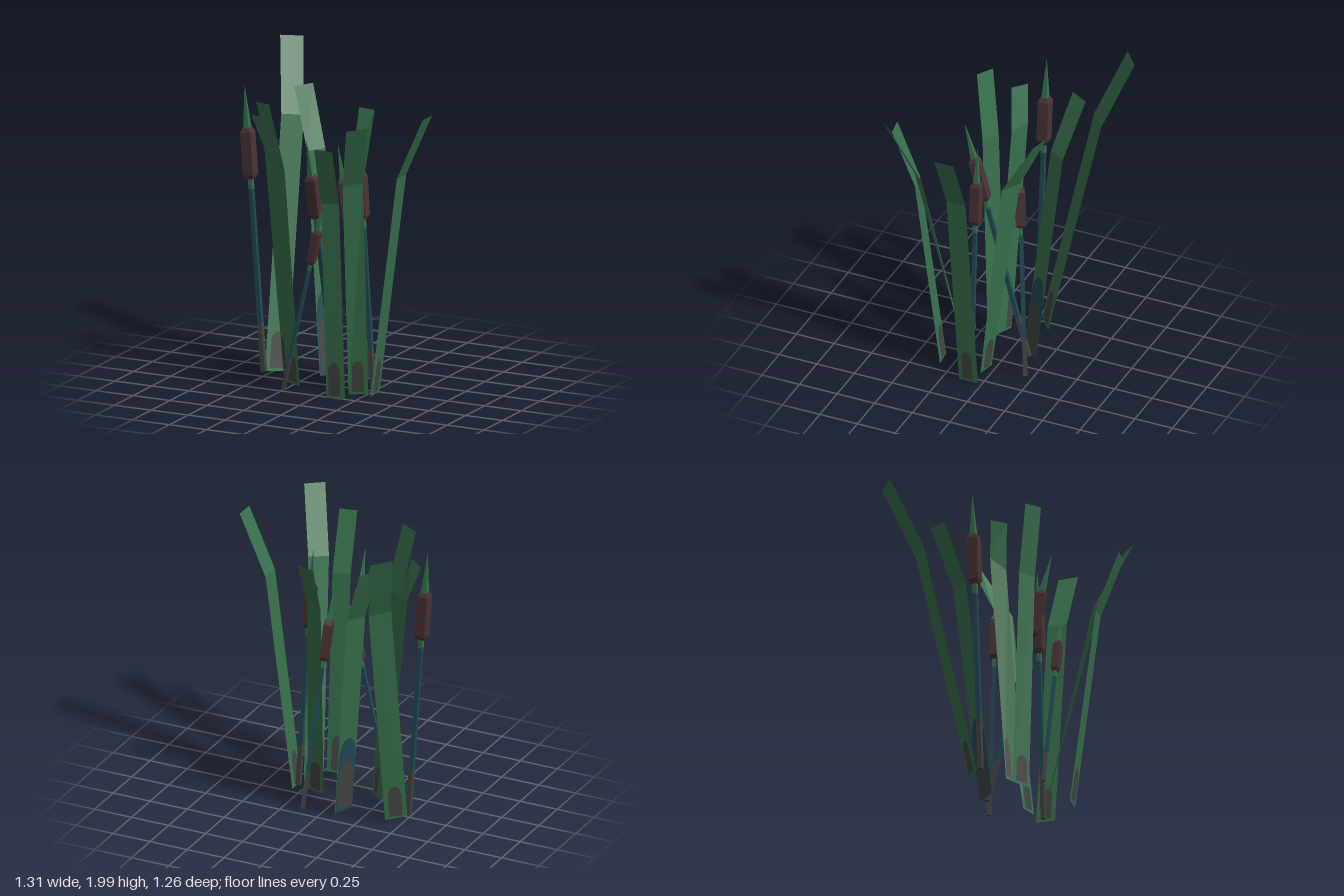
import * as THREE from 'three';

const mat = (name, color, flat = true) => {
  const m = new THREE.MeshStandardMaterial({ color, side: THREE.DoubleSide, flatShading: flat });
  m.name = name;
  return m;
};

export function createModel() {
  const leafGreen = mat('leaf green', 0x37704c);
  const stemTeal = mat('stem teal', 0x214a54);
  const mudGrey = mat('mud grey', 0x424643);
  const headBrown = mat('seed head brown', 0x4a3234);

  const root = new THREE.Group();
  root.name = 'reedClump';
  const add = (parent, name, geo, material) => {
    const m = new THREE.Mesh(geo, material);
    m.name = name;
    parent.add(m);
    return m;
  };
  const V = (a) => new THREE.Vector3(...a);

  // flat ribbon leaf: rows of [left, right] corners from base to tip
  function blade(name, rows, stain = [0.5, 0.3, 0.14], bigStain = false) {
    const g = new THREE.Group();
    g.name = name;
    root.add(g);
    const geo = new THREE.BufferGeometry();
    const pos = [], idx = [];
    rows.forEach(([l, r], i) => {
      pos.push(...l, ...r);
      if (i) {
        const a = 2 * (i - 1);
        idx.push(a, a + 1, a + 3, a, a + 3, a + 2);
      }
    });
    geo.setAttribute('position', new THREE.Float32BufferAttribute(pos, 3));
    geo.setIndex(idx);
    geo.computeVertexNormals();
    add(g, 'leaf', geo, leafGreen);

    // arched stain at the foot, repeated on both faces
    const [bl, br] = rows[0].map(V), [ml, mr] = rows[1].map(V);
    const n = br.clone().sub(bl).cross(ml.clone().sub(bl)).normalize();
    const patch = (label, u0, half, t0, t1, offset, material) => {
      const s = new THREE.Shape();
      const shoulder = t1 - (t1 - t0) * 0.3;
      s.moveTo(u0 - half, t0);
      s.lineTo(u0 + half, t0);
      s.lineTo(u0 + half, shoulder);
      for (let k = 1; k <= 8; k++) {
        const a = (k / 8) * Math.PI;
        s.lineTo(u0 + half * Math.cos(a), shoulder + (t1 - shoulder) * Math.sin(a));
      }
      for (const side of [1, -1]) {
        const p = new THREE.ShapeGeometry(s);
        const at = p.attributes.position;
        for (let i = 0; i < at.count; i++) {
          const u = at.getX(i), t = at.getY(i);
          const q = bl.clone().lerp(br, u).lerp(ml.clone().lerp(mr, u), t).addScaledVector(n, side * offset);
          at.setXYZ(i, q.x, q.y, q.z);
        }
        p.computeVertexNormals();
        add(g, label, p, material);
      }
    };
    if (bigStain) patch('wetStain', 0.5, 0.48, 0.002, 0.38, 0.002, stemTeal);
    patch('mudStain', stain[0], stain[1], 0.012, stain[2], 0.004, mudGrey);
  }

  blade('backLeftTallLeaf', [
    [[-0.505, 0.035, -0.035], [-0.40, 0.025, -0.126]],
    [[-0.558, 1.56, -0.358], [-0.453, 1.545, -0.453]],
    [[-0.656, 2.0, -0.537], [-0.547, 1.985, -0.632]]], [0.5, 0.3, 0.155]);
  blade('backLeaf', [
    [[-0.154, 0.04, -0.077], [-0.09, 0.025, -0.186]],
    [[-0.298, 1.40, -0.19], [-0.23, 1.40, -0.30]],
    [[-0.428, 1.77, -0.277], [-0.36, 1.77, -0.393]]], [0.5, 0.42, 0.26], true);
  blade('backCentreLeaf', [
    [[0.09, 0.025, 0.025], [0.207, 0.03, 0.046]],
    [[0.03, 1.34, -0.137], [0.154, 1.345, -0.07]],
    [[0.0, 1.685, -0.298], [0.12, 1.69, -0.27]]], [0.5, 0.3, 0.16]);
  blade('frontRightLeaf', [
    [[0.15, 0.01, 0.14], [0.256, 0.015, 0.088]],
    [[0.27, 1.40, 0.456], [0.365, 1.415, 0.365]],
    [[0.38, 1.80, 0.625], [0.475, 1.81, 0.53]]], [0.5, 0.3, 0.16]);
  blade('rightLeaf', [
    [[0.30, 0.015, 0.145], [0.30, 0.02, 0.02]],
    [[0.48, 1.40, 0.147], [0.48, 1.40, 0.02]],
    [[0.655, 1.79, 0.148], [0.655, 1.79, 0.02]]], [0.48, 0.26, 0.165]);
  blade('frontLeaf', [
    [[0.095, 0.03, 0.326], [0.214, 0.03, 0.312]],
    [[0.137, 1.29, 0.48], [0.25, 1.29, 0.463]],
    [[0.16, 1.66, 0.62], [0.274, 1.655, 0.604]]], [0.45, 0.31, 0.185]);
  blade('frontLeftLeaf', [
    [[-0.28, 0.03, 0.11], [-0.165, 0.03, 0.168]],
    [[-0.35, 1.38, 0.18], [-0.235, 1.39, 0.235]],
    [[-0.42, 1.80, 0.25], [-0.305, 1.81, 0.305]]], [0.5, 0.33, 0.14]);
  blade('leftLeaf', [
    [[-0.316, 0.04, 0.08], [-0.21, 0.03, 0.14]],
    [[-0.47, 1.45, 0.04], [-0.37, 1.40, 0.105]],
    [[-0.544, 1.665, 0.074], [-0.446, 1.675, 0.14]]], [0.2, 0.16, 0.19]);

  // square-sided cattail standing along the line from base to tip
  const square = (top, bottom, y0, y1) => {
    const r = Math.SQRT2;
    const g = new THREE.CylinderGeometry(top * r, bottom * r, y1 - y0, 4, 1);
    g.rotateY(Math.PI / 4);
    g.translate(0, (y0 + y1) / 2, 0);
    return g;
  };
  function cattail(name, base, tip, yaw = 0) {
    const a = V(base), d = V(tip).sub(a), L = d.length();
    const g = new THREE.Group();
    g.name = name;
    g.position.copy(a);
    g.quaternion.setFromUnitVectors(new THREE.Vector3(0, 1, 0), d.normalize())
      .multiply(new THREE.Quaternion().setFromAxisAngle(new THREE.Vector3(0, 1, 0), yaw));
    g.scale.setScalar(L);
    root.add(g);
    add(g, 'stemFoot', square(0.0082, 0.0085, 0, 0.17), mudGrey);
    add(g, 'stem', square(0.0075, 0.0082, 0.17, 0.64), stemTeal);
    add(g, 'stemCollar', square(0.0078, 0.0075, 0.64, 0.685), leafGreen);
    add(g, 'headFoot', square(0.0195, 0.013, 0.675, 0.69), headBrown);
    add(g, 'seedHead', square(0.0195, 0.0195, 0.69, 0.84), headBrown);
    add(g, 'headCap', square(0.013, 0.0195, 0.84, 0.855), headBrown);
    add(g, 'spike', square(0.0005, 0.0105, 0.855, 1), leafGreen);
  }
  cattail('leftCattail', [-0.50, 0.04, -0.01], [-0.63, 1.81, -0.01]);
  cattail('rightCattail', [0.285, 0.03, 0.075], [0.185, 1.62, 0.075]);
  cattail('centreCattail', [-0.085, 0.03, -0.14], [-0.065, 1.60, 0.275], 0.1);
  cattail('backCattail', [0.115, 0.03, -0.21], [-0.04, 1.49, -0.095], 0.3);
  cattail('smallCattail', [-0.22, 0.03, 0.285], [0.055, 1.23, 0.285]);

  return root;
}
